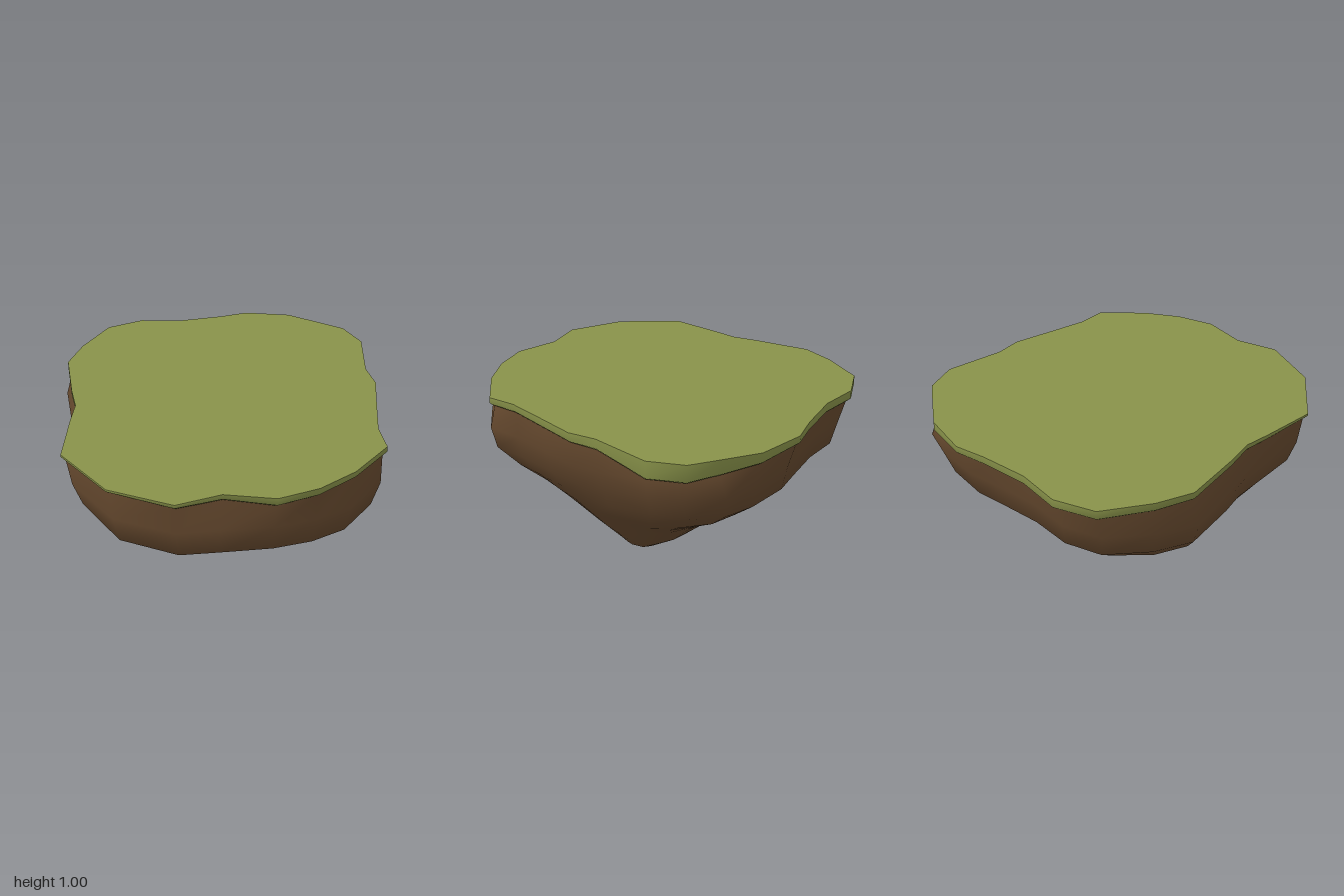
import * as THREE from 'three';
import { mergeVertices } from 'three/addons/utils/BufferGeometryUtils.js';

// Turf edge, counter-clockwise from the front: x, z, height of the lip's lower edge
const TURF = [
  [0.11, 0.99, 0.952], [0.33, 0.94, 0.955], [0.54, 0.83, 0.96], [0.76, 0.64, 0.96], [0.76, 0.47, 0.955],
  [0.82, 0.23, 0.95], [0.88, 0, 0.947], [0.865, -0.16, 0.94], [0.93, -0.5, 0.9], [0.86, -0.69, 0.9],
  [0.72, -0.8, 0.915], [0.55, -0.93, 0.94], [0.28, -1, 0.955], [0.1, -0.97, 0.95], [-0.17, -0.95, 0.945],
  [-0.41, -0.99, 0.945], [-0.63, -0.92, 0.945], [-0.8, -0.69, 0.95], [-0.89, -0.5, 0.955], [-0.87, -0.16, 0.96],
  [-0.85, 0, 0.965], [-0.88, 0.15, 0.97], [-0.93, 0.47, 0.98], [-0.71, 0.8, 0.98], [-0.39, 0.97, 0.973],
  [-0.15, 0.92, 0.965],
];

// Widest outline of the rock, point for point below the turf edge: x, z
const ROCK = [
  [0.11, 0.96], [0.33, 0.93], [0.53, 0.86], [0.74, 0.68], [0.755, 0.47], [0.81, 0.23], [0.86, 0],
  [0.85, -0.16], [0.91, -0.5], [0.87, -0.69], [0.73, -0.85], [0.55, -0.92], [0.28, -0.96], [0.1, -0.94],
  [-0.17, -0.92], [-0.41, -0.95], [-0.62, -0.89], [-0.8, -0.69], [-0.915, -0.49], [-0.89, -0.16],
  [-0.865, 0], [-0.875, 0.15], [-0.89, 0.46], [-0.69, 0.78], [-0.39, 0.94], [-0.17, 0.95],
];

// Directions in which the rock bulges: x, z
const CORNERS = [[-0.6, 0.8], [0.6, 0.8], [0.8, -0.6], [-0.75, -0.65]];

// Rock levels: y, reach to -x, +x, -z, +z, roundness, bulge at each corner
const LEVELS = [
  [0.8, 0.915, 0.905, 0.94, 0.96, 0, [0, 0, 0, 0]],
  [0.66, 0.87, 0.84, 0.91, 0.95, 0.15, [0.03, 0.03, 0.02, 0.03]],
  [0.55, 0.78, 0.755, 0.78, 0.78, 0.4, [0.04, 0.07, 0.08, 0.09]],
  [0.45, 0.69, 0.68, 0.64, 0.64, 0.6, [0.04, 0.05, 0.09, 0.07]],
  [0.375, 0.45, 0.61, 0.55, 0.55, 0.8, [0.03, 0.05, 0.13, 0.04]],
  [0.2, 0.28, 0.46, 0.35, 0.36, 0.9, [0, 0.08, 0.2, 0]],
  [0.09, 0.16, 0.37, 0.2, 0.18, 1, [0, 0.05, 0.18, 0]],
  [0.04, 0.11, 0.26, 0.13, 0.08, 1, [0, 0, 0.25, 0]],
];

// Smooth skin through equal-length rings of [x, y, z], listed from the top down
function loft(rings) {
  const n = rings[0].length;
  const index = [];
  for (let r = 0; r < rings.length - 1; r++) {
    for (let i = 0; i < n; i++) {
      const j = (i + 1) % n;
      const a = r * n + i, b = r * n + j;
      index.push(a, a + n, b, b, a + n, b + n);
    }
  }
  return finish(rings.flat(2), index);
}

// Flat fan that closes a ring from above
function cap(ring, y) {
  const index = ring.map((p, i) => [0, i + 1, ((i + 1) % ring.length) + 1]).flat();
  return finish([0, y, 0, ...ring.flat()], index);
}

function finish(points, index) {
  let geometry = new THREE.BufferGeometry();
  geometry.setAttribute('position', new THREE.Float32BufferAttribute(points, 3));
  geometry.setIndex(index);
  geometry = mergeVertices(geometry, 1e-4);
  geometry.computeVertexNormals();
  return geometry;
}

// Rock outline fitted to a level, rounded towards an ellipse lower down, with bulging corners
function rockRing([y, left, right, back, front, round, bulges]) {
  return ROCK.map(([x, z]) => {
    const u = x / 0.915, v = z / 0.96;
    let k = THREE.MathUtils.lerp(1, 1 / Math.hypot(u, v), round);
    CORNERS.forEach(([cx, cz], c) => {
      const facing = (x * cx + z * cz) / Math.hypot(x, z) / Math.hypot(cx, cz);
      k *= 1 + bulges[c] * Math.max(0, facing) ** 8;
    });
    return [u * k * (u < 0 ? left : right), y, v * k * (v < 0 ? back : front)];
  });
}

export function createModel() {
  const grass = new THREE.MeshStandardMaterial({ color: 0x89934a });
  grass.name = 'grass green';
  const earth = new THREE.MeshStandardMaterial({ color: 0x674a2f });
  earth.name = 'earth brown';

  const group = new THREE.Group();
  group.name = 'floatingIsland';
  const add = (name, geometry, material) => {
    const mesh = new THREE.Mesh(geometry, material);
    mesh.name = name;
    group.add(mesh);
  };

  // Turf: flat top, and a lip that tucks in under its lower edge
  const turfRing = (scale, height) => TURF.map(([x, z, low]) => [x * scale, height(low), z * scale]);
  const top = turfRing(1, () => 1.003);
  add('turfTop', cap(top, 1.003), grass);
  add('turfLip', loft([
    top,
    turfRing(1.002, (low) => low + 0.012),
    turfRing(0.99, (low) => low),
    turfRing(0.95, (low) => low + 0.004),
  ]), grass);

  // Rock: starts inside the turf and tapers to an off-centre tip
  const rim = turfRing(0.972, (low) => low + 0.006);
  const neck = turfRing(0.977, (low) => low - 0.01);
  const tip = ROCK.map(() => [0.15, 0, 0]);
  add('rock', loft([rim, neck, ...LEVELS.map(rockRing), tip]), earth);

  return group;
}
